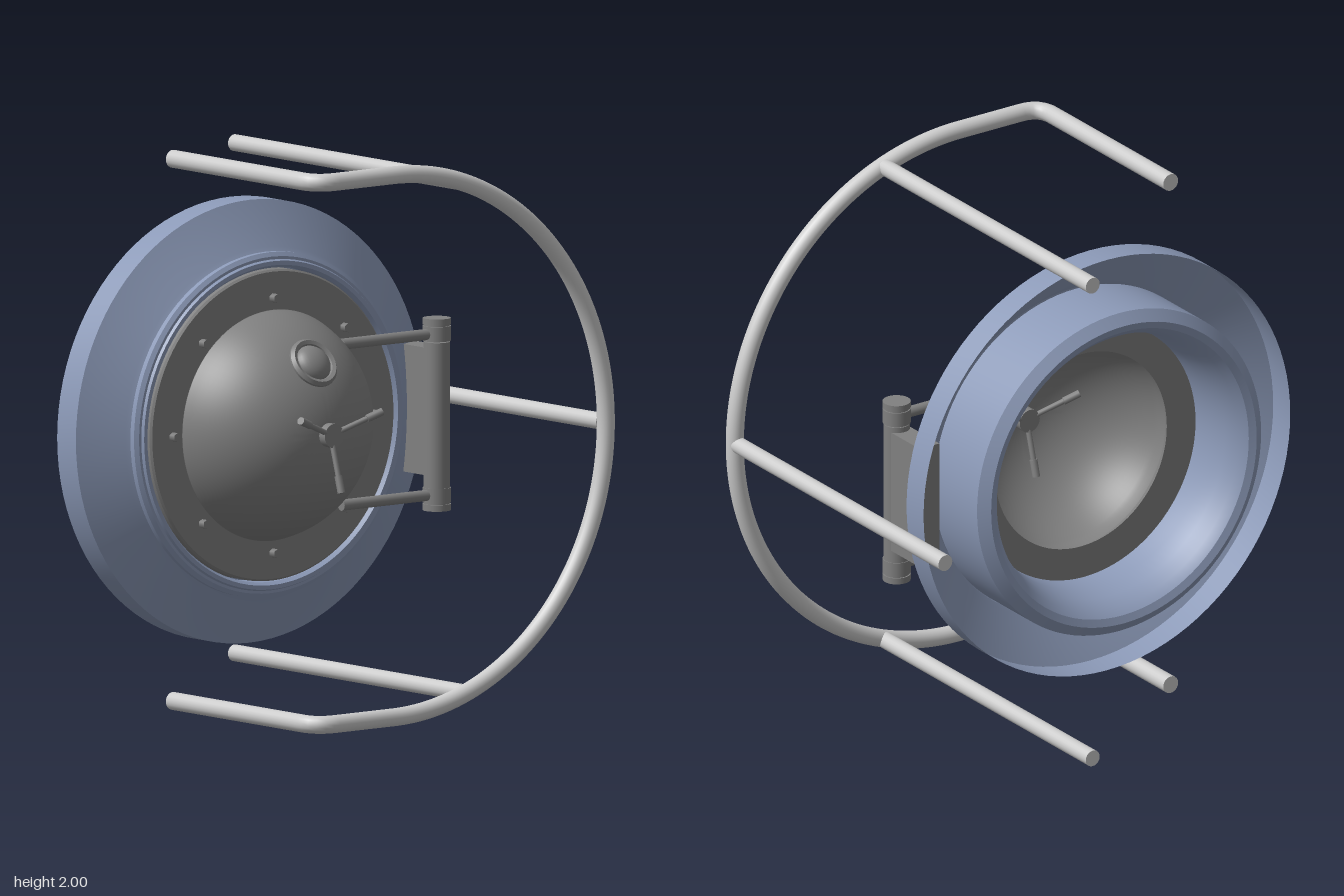
import * as THREE from 'three';
import { toCreasedNormals } from 'three/addons/utils/BufferGeometryUtils.js';

const V = (x, y, z) => new THREE.Vector3(x, y, z);
const mat = (color) => new THREE.MeshStandardMaterial({ color, side: THREE.DoubleSide });
const CX = -0.105, CY = 1; // hatch axis

export function createModel() {
  const model = new THREE.Group();
  const light = mat(0xcccccc), dark = mat(0x808080), blue = mat(0x8c9ab8);

  const add = (name, geo, material, parent = model) => {
    const m = new THREE.Mesh(geo, material);
    m.name = name;
    parent.add(m);
    return m;
  };
  // Round bar between two points
  const bar = (name, a, b, r, material, parent = model, seg = 20) => {
    const m = add(name, new THREE.CylinderGeometry(r, r, a.distanceTo(b), seg), material, parent);
    m.position.copy(a).add(b).multiplyScalar(0.5);
    m.quaternion.setFromUnitVectors(V(0, 1, 0), b.clone().sub(a).normalize());
    return m;
  };
  // Surface of revolution around z; profile is [radius, z]
  const turn = (name, profile, material, parent, seg = 96) => {
    const geo = new THREE.LatheGeometry(profile.map(([r, z]) => new THREE.Vector2(r, z)), seg);
    geo.rotateX(Math.PI / 2);
    return add(name, toCreasedNormals(geo, 0.45), material, parent);
  };
  // Points of a spherical cap, from its rim angle to the pole or back
  const capArc = (R, cz, from, to, n = 24) => Array.from({ length: n + 1 }, (_, i) => {
    const t = from + (to - from) * i / n;
    return [Math.max(R * Math.sin(t), 0), cz + R * Math.cos(t)];
  });

  const hatch = new THREE.Group();
  hatch.name = 'hatch';
  hatch.position.set(CX, CY, 0);
  model.add(hatch);

  // Flared frame, open behind the skirt, with a collar at the back
  turn('frame', [
    [0.79, -0.28], [0.79, -0.175], [0.63, -0.095], [0.615, -0.085], [0.615, -0.065],
    [0.6, -0.055], [0.59, -0.055], [0.585, -0.045], [0.57, -0.045], [0.56, -0.06],
    [0.56, -0.13], [0.48, -0.14], [0.485, -0.22], [0.5, -0.29], [0.52, -0.345],
    [0.545, -0.375], [0.572, -0.385], [0.612, -0.355], [0.612, -0.09],
  ], blue, hatch);

  // Domed door: flat ring, outer dome and hollow inside
  const DZ = -0.156;
  turn('door', [
    [0.37, -0.12], [0.555, -0.12], [0.555, -0.052], [0.548, -0.045], [0.412, -0.045],
    ...capArc(0.426, DZ, 1.305, 0), ...capArc(0.4, DZ, 0, 1.3), [0.385, -0.09], [0.37, -0.12],
  ], dark, hatch);

  // Ring of bolts
  for (let i = 0; i < 8; i++) {
    const a = i * Math.PI / 4, x = 0.455 * Math.cos(a), y = 0.455 * Math.sin(a);
    bar('bolt', V(x, y, -0.06), V(x, y, -0.018), 0.016, dark, hatch, 6);
  }

  // Porthole in the upper dome, bulging on both sides
  const porthole = new THREE.Group();
  porthole.name = 'porthole';
  porthole.position.set(0, 0, DZ);
  porthole.rotation.x = -0.63;
  hatch.add(porthole);
  turn('portholeRim', [[0.095, 0.39], [0.095, 0.423], [0.085, 0.435], [0.072, 0.43], [0.068, 0.42]], dark, porthole, 40);
  const lens = add('portholeLens', new THREE.SphereGeometry(0.07, 32, 20), dark, porthole);
  lens.scale.z = 0.65;
  lens.position.z = 0.413;

  // Three-spoke handles outside and inside
  for (const [name, z, s] of [['outerHandle', 0.28, 1], ['innerHandle', 0.215, -1]]) {
    const handle = new THREE.Group();
    handle.name = name;
    handle.position.z = z;
    hatch.add(handle);
    bar('handleHub', V(0, 0, -0.04 * s), V(0, 0, 0.02 * s), 0.043, dark, handle, 24);
    for (const deg of [-90, 22, 158]) {
      const a = deg * Math.PI / 180;
      const at = (r) => V(r * Math.cos(a), r * Math.sin(a), s * 0.3 * r);
      bar('spoke', at(0), at(0.15), 0.01, dark, handle, 12);
      bar('spokeGrip', at(0.14), at(0.2), 0.014, dark, handle, 12);
    }
  }

  // Hinge: pin, knuckles, bracket through the frame, and two arms
  const HX = 0.605;
  bar('hingePin', V(HX, 0.72, 0), V(HX, 1.24, 0), 0.047, dark, model, 32);
  for (const s of [-1, 1]) {
    const y = (d) => 0.982 + s * d;
    bar('hingeKnuckle', V(HX, y(0.262), 0), V(HX, y(0.315), 0), 0.05, dark, model, 32);
    bar('hingeCollar', V(HX, y(0.31), 0), V(HX, y(0.322), 0), 0.045, dark, model, 32);
    bar('hingeCap', V(HX, y(0.32), 0), V(HX, y(0.343), 0), 0.05, dark, model, 32);
    bar('hingeArm', V(0.17, y(0.287), 0), V(HX, y(0.287), 0), 0.02, dark);
  }
  add('hingeBracket', new THREE.BoxGeometry(0.085, 0.455, 0.19), dark).position.set(0.603, 0.993, -0.105);

  // Bent guard rail: back, forward, round the side and back again
  const R = 0.032, GR = 0.967, GZ = 0.63, EX = -0.45, B = 0.08;
  const path = new THREE.CurvePath();
  const top = CY + GR, bottom = CY - GR;
  path.add(new THREE.LineCurve3(V(EX, top, -0.18), V(EX, top, GZ - B)));
  path.add(new THREE.QuadraticBezierCurve3(V(EX, top, GZ - B), V(EX, top, GZ), V(EX + B, top, GZ)));
  path.add(new THREE.LineCurve3(V(EX + B, top, GZ), V(CX, top, GZ)));
  const arc = new THREE.Curve();
  arc.getPoint = (t, target = V(0, 0, 0)) => {
    const a = Math.PI * (0.5 - t);
    return target.set(CX + GR * Math.cos(a), CY + GR * Math.sin(a), GZ);
  };
  path.add(arc);
  path.add(new THREE.LineCurve3(V(CX, bottom, GZ), V(EX + B, bottom, GZ)));
  path.add(new THREE.QuadraticBezierCurve3(V(EX + B, bottom, GZ), V(EX, bottom, GZ), V(EX, bottom, GZ - B)));
  path.add(new THREE.LineCurve3(V(EX, bottom, GZ - B), V(EX, bottom, -0.18)));
  add('guardRail', new THREE.TubeGeometry(path, 240, R, 20, false), light);
  for (const y of [top, bottom]) {
    const cap = add('railEnd', new THREE.CircleGeometry(R, 20), light);
    cap.position.set(EX, y, -0.18);
    cap.rotation.y = Math.PI;
  }

  // Straight rods holding the guard rail
  for (const [x, y] of [[0.225, 1.91], [0.225, 0.09], [0.86, 1]]) {
    bar('guardRod', V(x, y, -0.665), V(x, y, 0.615), 0.03, light);
  }
  return model;
}
